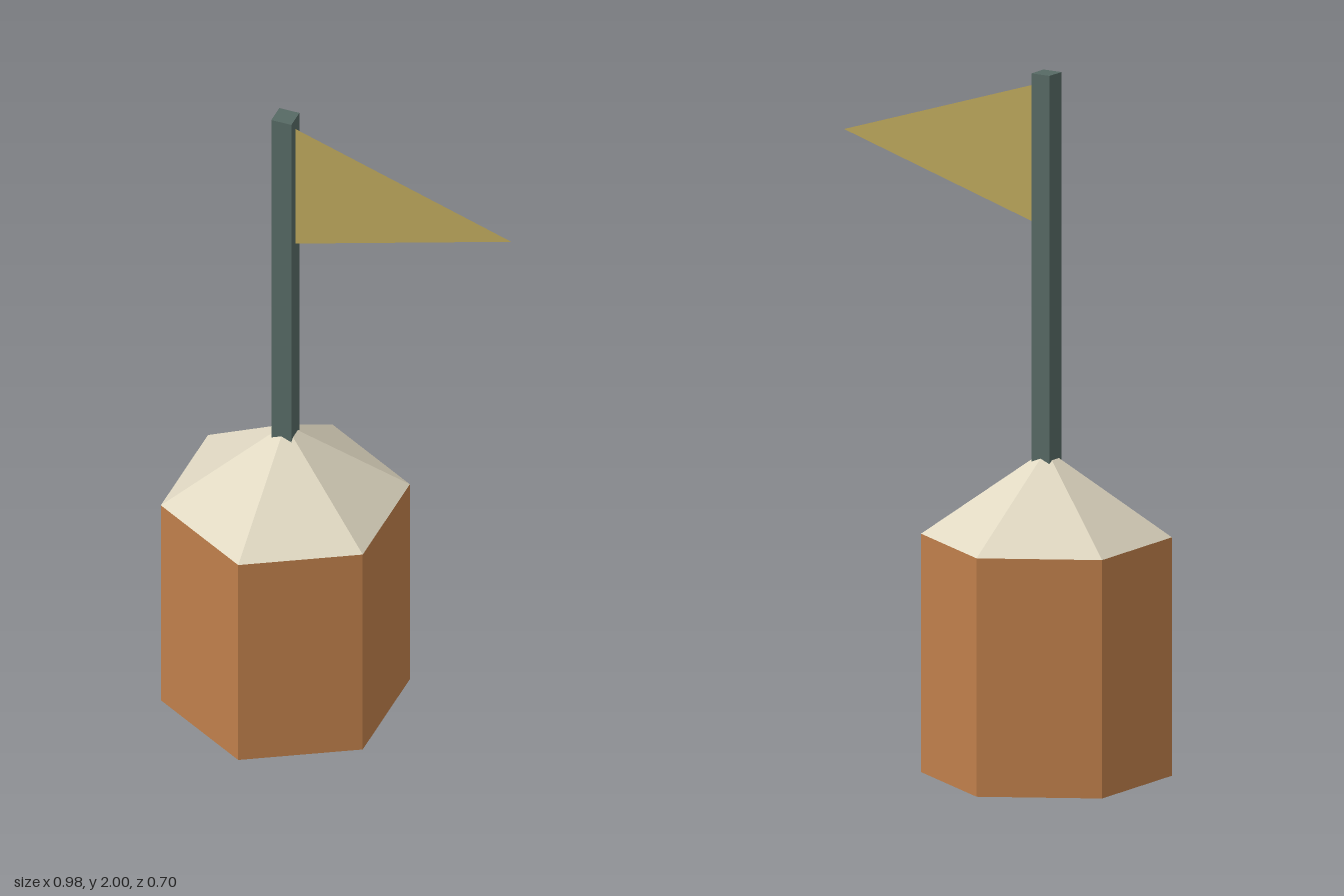
import * as THREE from 'three';

const AXIS_X = -0.188; // shared vertical axis of base, roof and pole

export function createModel() {
  const model = new THREE.Group();
  const material = (name, color, extra = {}) =>
    Object.assign(new THREE.MeshStandardMaterial({ color, ...extra }), { name });
  const wood = material('brown wood', 0xbf7f4b, { flatShading: true });
  const cream = material('cream', 0xe0d8c2, { flatShading: true });
  const slate = material('slate', 0x566964, { flatShading: true });
  const gold = material('dull gold', 0xb9a45a, { side: THREE.DoubleSide });

  const add = (name, geometry, mat, x, y) => {
    const mesh = new THREE.Mesh(geometry, mat);
    mesh.name = name;
    mesh.position.set(x, y, 0);
    model.add(mesh);
  };

  // Hexagonal base with corners towards front and back
  add('base', new THREE.CylinderGeometry(0.35, 0.35, 0.68, 6), wood, AXIS_X, 0.34);

  // Six-sided pointed roof
  add('roof', new THREE.ConeGeometry(0.35, 0.246, 6), cream, AXIS_X, 0.68 + 0.123);

  // Square pole rising out of the roof tip
  add('pole', new THREE.BoxGeometry(0.06, 1.11, 0.06), slate, AXIS_X, 2 - 0.555);

  // Flat triangular pennant on the left of the pole
  const pennant = new THREE.Shape([
    new THREE.Vector2(0, -0.2),
    new THREE.Vector2(0.648, -0.01),
    new THREE.Vector2(0, 0.2),
  ]);
  add('pennant', new THREE.ShapeGeometry(pennant), gold, AXIS_X + 0.03, 1.765);

  return model;
}
